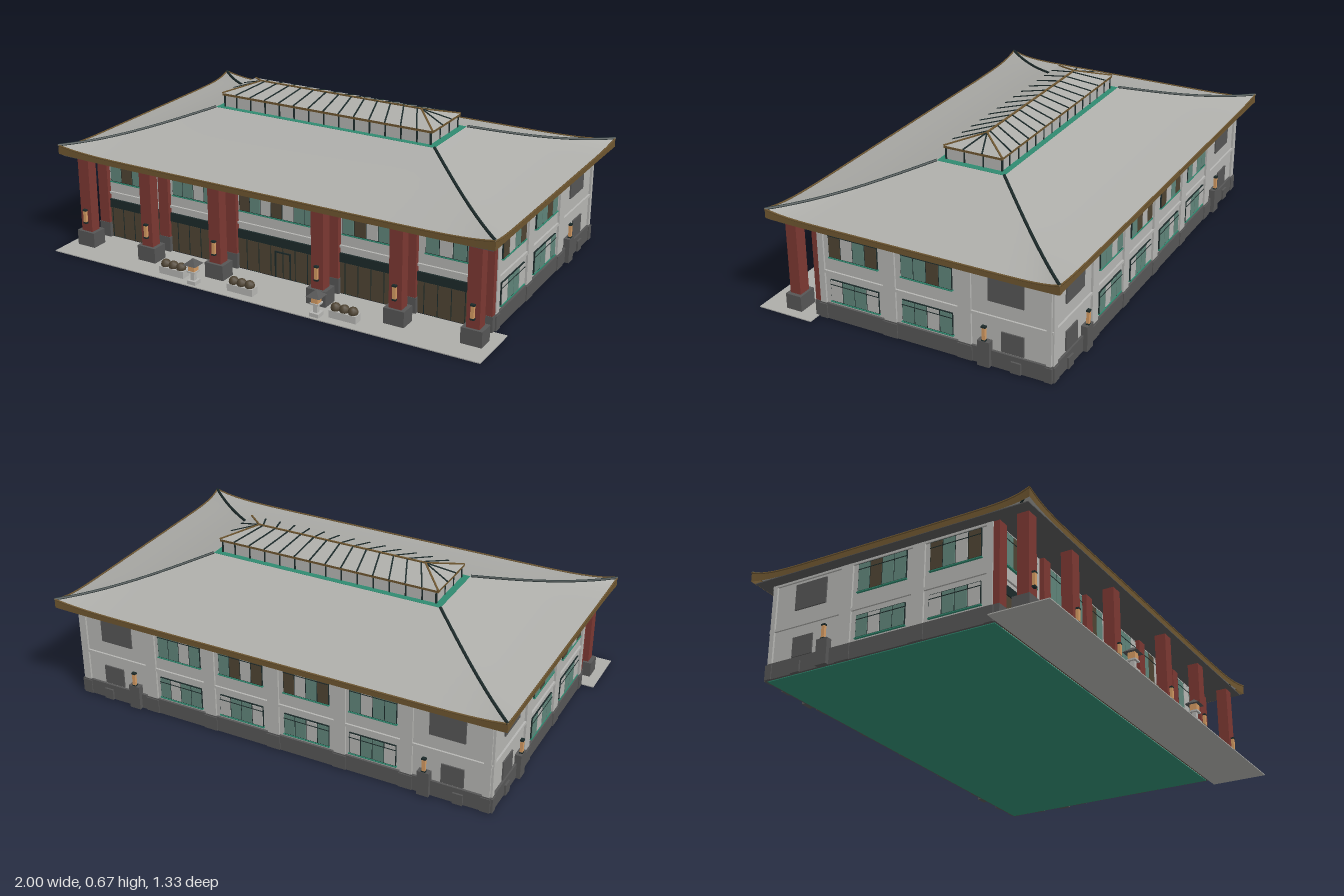
import * as THREE from 'three';
import { ConvexGeometry } from 'three/addons/geometries/ConvexGeometry.js';
import { ParametricGeometry } from 'three/addons/geometries/ParametricGeometry.js';

const mat = (name, color, side = THREE.FrontSide) => {
  const m = new THREE.MeshStandardMaterial({ color, side });
  m.name = name;
  return m;
};
const wall = mat('wall plaster', 0xb6b6b3);
const roofGrey = mat('roof grey', 0xadada9, THREE.DoubleSide);
const stone = mat('dark stone', 0x565656);
const red = mat('column red', 0x7c3832);
const fasciaBrown = mat('fascia brown', 0x6e5630, THREE.DoubleSide);
const doorBrown = mat('door brown', 0x4f4433);
const glass = mat('glass teal', 0x60857a);
const trim = mat('dark trim', 0x1c2a2a);
const lampGlow = mat('lamp orange', 0xd39a62);
const green = mat('base green', 0x2f8a70);

const add = (parent, name, geo, material, x = 0, y = 0, z = 0) => {
  const m = new THREE.Mesh(geo, material);
  m.name = name;
  m.position.set(x, y, z);
  parent.add(m);
  return m;
};
// Box given by its centre x, bottom y and centre z
const box = (parent, name, material, x, y0, z, w, h, d) =>
  add(parent, name, new THREE.BoxGeometry(w, h, d), material, x, y0 + h / 2, z);
// Thin square bar from a to b
const bar = (parent, name, material, a, b, r) => {
  const mid = a.clone().lerp(b, 0.5);
  const m = add(parent, name, new THREE.BoxGeometry(r, r, a.distanceTo(b)), material, mid.x, mid.y, mid.z);
  m.lookAt(b);
  return m;
};
const V = (x, y, z) => new THREE.Vector3(x, y, z);
const PANES = { t: glass, b: doorBrown, w: wall };

// Window: one letter per pane (t teal, b blind, w white)
function addWindow(g, x, y0, w, h, panes) {
  const win = new THREE.Group();
  win.name = 'window';
  win.position.set(x, y0, 0);
  g.add(win);
  box(win, 'windowFrame', trim, 0, 0, 0.003, w, h, 0.006);
  const pw = w / panes.length;
  [...panes].forEach((p, i) =>
    box(win, 'pane', PANES[p], -w / 2 + pw * (i + 0.5), 0.003, 0.005, pw - 0.004, h - 0.006, 0.006));
  box(win, 'transom', trim, 0, h * 0.77, 0.006, w, 0.003, 0.007);
  box(win, 'sill', green, 0, -0.004, 0.005, w + 0.006, 0.004, 0.01);
}

function addLamp(g, x, z) {
  box(g, 'lampGlass', lampGlow, x, 0.115, z, 0.014, 0.05, 0.012);
  for (const y of [0.108, 0.165]) box(g, 'lampCap', trim, x, y, z, 0.018, 0.007, 0.014);
}

// Pilasters, floor band and plinth shared by the side and back walls
function addFacade(g, width, centre, pilasters) {
  box(g, 'floorBand', wall, centre, 0.203, 0.004, width, 0.012, 0.008);
  box(g, 'topBand', wall, centre, 0.398, 0.004, width, 0.012, 0.008);
  box(g, 'plinth', stone, centre, 0.003, 0.004, width, 0.067, 0.012);
  for (const [x, w] of pilasters) {
    box(g, 'pilaster', wall, x, 0.07, 0.004, w, 0.34, 0.01);
    box(g, 'pilasterBase', stone, x, 0.003, 0.006, w + 0.01, 0.062, 0.016);
  }
}
function addCornerBay(g, x, lampX, hatchX) {
  box(g, 'upperVent', stone, x, 0.275, 0.003, 0.148, 0.11, 0.006);
  box(g, 'lowerVent', stone, x + Math.sign(x - lampX) * 0.026, 0.075, 0.003, 0.094, 0.083, 0.006);
  box(g, 'buttress', stone, lampX, 0.003, 0.012, 0.05, 0.107, 0.03);
  box(g, 'hatch', stone, hatchX, 0.003, 0.01, 0.042, 0.047, 0.016);
  addLamp(g, lampX, 0.018);
}

// Hipped main roof: side 0 front, 1 right, 2 back, 3 left; u along the eave, t up the slope
const CZ = -0.037;
function roofPoint(side, u, t, target, drop = 0) {
  const s = u * 2 - 1;
  const lift = Math.abs(s) ** 10 * (1 - t) ** 4;
  const hx = THREE.MathUtils.lerp(0.988, 0.52, t) + 0.01 * lift;
  const hz = THREE.MathUtils.lerp(0.618, 0.15, t) + 0.01 * lift;
  const y = 0.43 + 0.138 * t - 0.008 * Math.sin(Math.PI * t) + 0.024 * lift - drop * (1 + 0.6 * lift);
  const [x, z] = [[s * hx, hz], [hx, -s * hz], [-s * hx, -hz], [-hx, s * hz]][side];
  return target.set(x, y, z + CZ);
}
function addRoof(g) {
  for (let k = 0; k < 4; k++) {
    add(g, 'roofSlope', new ParametricGeometry((u, v, p) => roofPoint(k, u, v, p), 40, 10), roofGrey);
    add(g, 'fascia', new ParametricGeometry((u, v, p) => roofPoint(k, u, 0, p, 0.023 * (1 - v)), 40, 1), fasciaBrown);
    const pts = (n, f) => Array.from({ length: n + 1 }, (_, i) => f(i / n).add(V(0, 0.002, 0)));
    const hip = new THREE.CatmullRomCurve3(pts(12, t => roofPoint(k, 1, t, V(0, 0, 0))));
    add(g, 'hipRidge', new THREE.TubeGeometry(hip, 24, 0.006, 6), trim);
    const eave = new THREE.CatmullRomCurve3(pts(40, u => roofPoint(k, u, 0, V(0, 0, 0))));
    add(g, 'eaveEdge', new THREE.TubeGeometry(eave, 60, 0.004, 5), fasciaBrown);
  }
  box(g, 'soffit', stone, 0, 0.407, CZ, 1.97, 0.004, 1.23);
  box(g, 'roofCurb', green, 0, 0.555, CZ, 1.04, 0.014, 0.3);
}

// Glazed roof lantern
function addSkylight(g) {
  const hx = 0.5, hz = 0.13, rx = 0.385, y0 = 0.628, y1 = 0.665;
  box(g, 'skylightWall', wall, 0, 0.565, CZ, 0.98, 0.055, 0.248);
  box(g, 'skylightEave', fasciaBrown, 0, 0.618, CZ, 2 * hx, 0.01, 2 * hz);
  const pts = [V(-rx, y1, CZ), V(rx, y1, CZ)];
  for (const a of [-1, 1]) for (const b of [-1, 1]) pts.push(V(a * hx, y0, CZ + b * hz));
  add(g, 'skylightRoof', new ConvexGeometry(pts), roofGrey);
  bar(g, 'skylightRidge', fasciaBrown, pts[0], pts[1], 0.008);
  for (const a of [-1, 1]) for (const b of [-1, 1]) {
    bar(g, 'skylightHip', fasciaBrown, V(a * hx, y0, CZ + b * hz), V(a * rx, y1, CZ), 0.007);
    box(g, 'cornerMullion', trim, a * 0.49, 0.565, CZ + b * 0.124, 0.007, 0.055, 0.007);
  }
  for (let i = 0; i < 13; i++) {
    const x = -0.43 + (0.86 * i) / 12;
    for (const b of [-1, 1]) {
      bar(g, 'skylightRib', trim, V(x, y0, CZ + b * hz), V(x * 0.85, y1, CZ), 0.006);
      box(g, 'mullion', trim, x, 0.565, CZ + b * 0.124, 0.006, 0.055, 0.006);
    }
  }
  for (const a of [-1, 1]) for (const z of [-0.042, 0.042]) {
    bar(g, 'endRib', trim, V(a * hx, y0, CZ + z), V(a * rx, y1, CZ), 0.006);
    box(g, 'endMullion', trim, a * 0.49, 0.565, CZ + z, 0.006, 0.055, 0.006);
  }
}

function addFront(g) {
  const cols = [-0.905, -0.583, -0.241, 0.241, 0.583, 0.905];
  box(g, 'doorWall', doorBrown, 0, 0.004, 0.002, 1.84, 0.134, 0.008);
  box(g, 'signBand', trim, 0, 0.14, 0.004, 1.84, 0.038, 0.01);
  box(g, 'frontLedge', wall, 0, 0.202, 0.004, 1.84, 0.01, 0.01);
  for (let i = 0; i < 31; i++)
    box(g, 'doorBar', trim, -0.87 + i * 0.058, 0.004, 0.004, 0.003, 0.134, 0.007);
  for (const x of [-0.035, 0.035]) box(g, 'entranceJamb', trim, x, 0.004, 0.006, 0.006, 0.116, 0.008);
  box(g, 'entranceHead', trim, 0, 0.114, 0.006, 0.07, 0.006, 0.008);
  [[-0.755, 0.23, 'tbtw'], [-0.41, 0.265, 'ttwtt'], [-0.105, 0.205, 'btwb'], [0.105, 0.205, 'wttw'],
    [0.41, 0.265, 'tbwtt'], [0.755, 0.23, 'twtt']].forEach(([x, w, p]) => addWindow(g, x, 0.262, w, 0.134, p));
  // Colonnade with wall pilasters behind it
  for (const x of cols) {
    box(g, 'frontPilaster', red, x, 0.07, 0.007, 0.05, 0.34, 0.026);
    box(g, 'frontPilasterBase', stone, x, 0.003, 0.007, 0.056, 0.067, 0.03);
    box(g, 'column', red, x, 0.06, 0.117, 0.055, 0.35, 0.048);
    box(g, 'columnBase', stone, x, 0.003, 0.117, 0.088, 0.067, 0.071);
    addLamp(g, x, 0.147);
  }
}

function addTerrace(g) {
  box(g, 'terrace', roofGrey, 0, 0, 0.542, 1.98, 0.004, 0.246);
  for (const x of [-0.41, -0.075, 0.395]) {
    box(g, 'planter', wall, x, 0.004, 0.606, 0.12, 0.031, 0.04);
    for (const dx of [-0.038, 0, 0.038])
      add(g, 'shrub', new THREE.IcosahedronGeometry(0.021, 1), doorBrown, x + dx, 0.043, 0.606);
  }
  // Stone lanterns
  for (const x of [-0.29, 0.287]) {
    box(g, 'lanternFoot', wall, x, 0.004, 0.635, 0.04, 0.016, 0.04);
    box(g, 'lanternPost', wall, x, 0.02, 0.635, 0.018, 0.034, 0.018);
    box(g, 'lanternShelf', wall, x, 0.054, 0.635, 0.038, 0.007, 0.038);
    box(g, 'lanternLight', lampGlow, x, 0.061, 0.635, 0.03, 0.028, 0.03);
    const cap = add(g, 'lanternRoof', new THREE.ConeGeometry(0.043, 0.026, 4).toNonIndexed(), stone, x, 0.102, 0.635);
    cap.geometry.computeVertexNormals();
    cap.rotation.y = Math.PI / 4;
  }
}

export function createModel() {
  const model = new THREE.Group();
  model.name = 'hall';
  const part = (name, x = 0, z = 0, ry = 0) => {
    const g = new THREE.Group();
    g.name = name;
    g.position.set(x, 0, z);
    g.rotation.y = ry;
    model.add(g);
    return g;
  };
  box(model, 'foundation', green, 0, 0, -0.096, 1.85, 0.003, 1.01);
  box(model, 'walls', wall, 0, 0.003, -0.095, 1.85, 0.407, 1.01);
  addFront(part('frontFacade', 0, 0.41));

  // Mirrored side walls
  for (const m of [1, -1]) {
    const g = part(m > 0 ? 'leftFacade' : 'rightFacade', m * 0.925, 0, m * Math.PI / 2);
    addFacade(g, 1.0, m * 0.1, [[-m * 0.391, 0.026], [-m * 0.083, 0.054], [m * 0.244, 0.054], [m * 0.592, 0.02]]);
    [[-0.2435, 'bwtb', 'wttw'], [0.0815, 'ttbt', 'ttwt']].forEach(([x, up, low]) => {
      const flip = s => (m > 0 ? s : [...s].reverse().join(''));
      addWindow(g, m * x, 0.277, 0.22, 0.119, flip(up));
      addWindow(g, m * x, 0.085, 0.22, 0.094, flip(low));
    });
    addCornerBay(g, m * 0.416, m * 0.331, m * 0.46);
  }

  // Back wall
  const back = part('backFacade', 0, -0.6, Math.PI);
  addFacade(back, 1.86, 0, [-0.91, -0.58, -0.295, 0, 0.295, 0.58, 0.91].map(x => [x, Math.abs(x) > 0.9 ? 0.03 : 0.05]));
  [[-0.437, 'ttwt', 'twtt'], [-0.148, 'tbwb', 'wttw'], [0.148, 'bwtb', 'ttwt'], [0.437, 'twtt', 'wttw']]
    .forEach(([x, up, low]) => {
      addWindow(back, x, 0.277, 0.2, 0.119, up);
      addWindow(back, x, 0.085, 0.2, 0.094, low);
    });
  for (const s of [-1, 1]) addCornerBay(back, s * 0.745, s * 0.66, s * 0.8);

  addRoof(part('mainRoof'));
  addSkylight(part('skylight'));
  addTerrace(part('forecourt'));
  return model;
}
